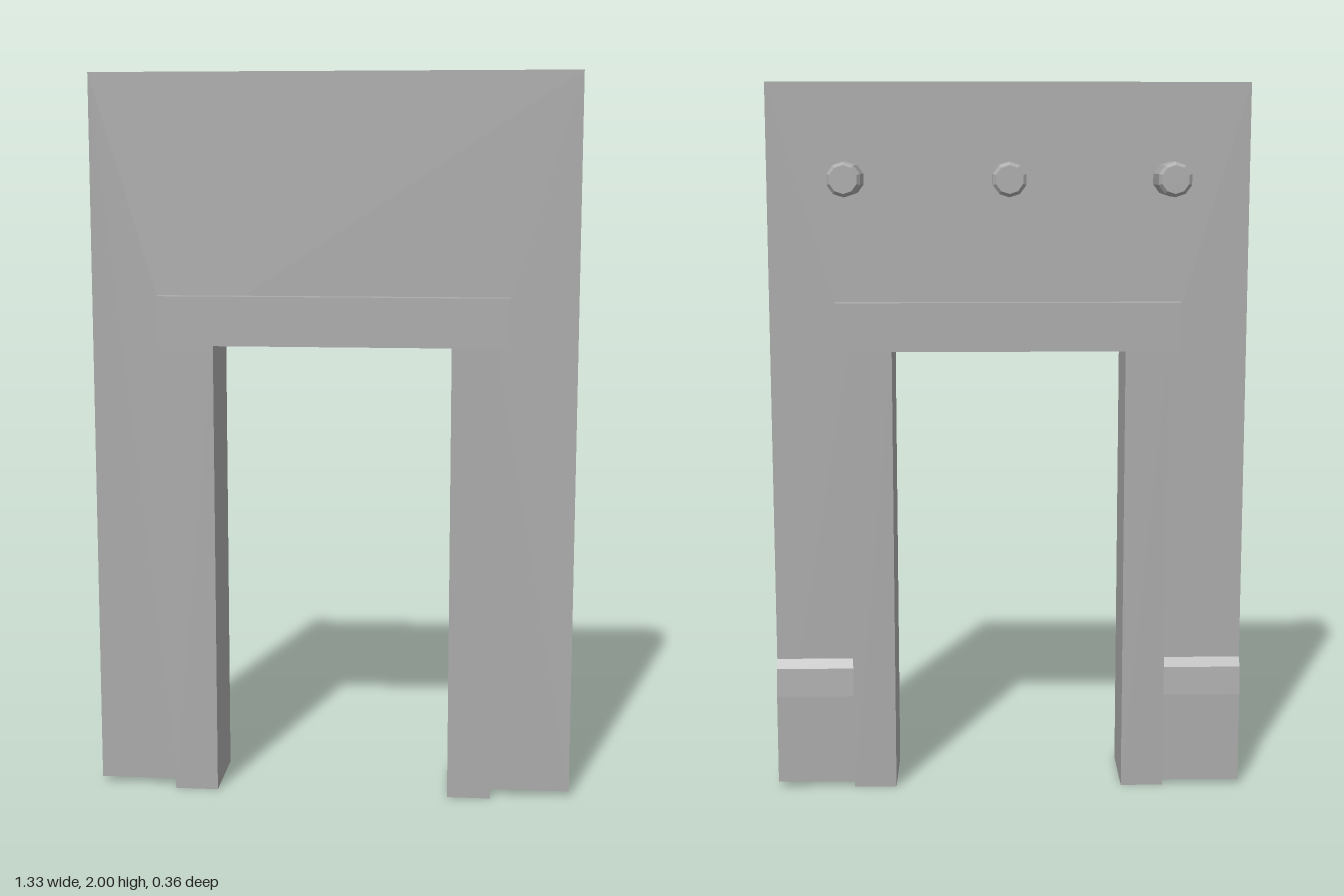
import * as THREE from 'three';

export function createModel() {
  const model = new THREE.Group();
  model.name = 'doorwayWall';
  const grey = new THREE.MeshStandardMaterial({ color: 0xaaaaaa });
  grey.name = 'plain grey';

  const add = (name, geometry, x = 0, y = 0, z = 0) => {
    const mesh = new THREE.Mesh(geometry, grey);
    mesh.name = name;
    mesh.position.set(x, y, z);
    model.add(mesh);
    return mesh;
  };
  const box = (name, x0, x1, y0, y1, z0, z1) =>
    add(name, new THREE.BoxGeometry(x1 - x0, y1 - y0, z1 - z0),
      (x0 + x1) / 2, (y0 + y1) / 2, (z0 + z1) / 2);
  const shape = (points) => new THREE.Shape(points.map(([x, y]) => new THREE.Vector2(x, y)));

  // Wall slab with the doorway cut out from below
  const wall = shape([
    [-0.665, 0.015], [-0.445, 0.015], [-0.445, 1.265], [0.445, 1.265],
    [0.445, 0.015], [0.665, 0.015], [0.665, 2], [-0.665, 2],
  ]);
  add('wall', new THREE.ExtrudeGeometry(wall, { depth: 0.165, bevelEnabled: false }), 0, 0, -0.025);

  // Lintel over the doorway
  box('lintel', -0.48, 0.48, 1.265, 1.4, -0.065, 0.18);

  // Jambs, and the sloped-top plinths on the back of the wall
  const plinth = shape([
    [0.02, 0.015], [0.052, 0.015], [0.05, 0.27], [0.042, 0.35], [0.025, 0.375], [0.02, 0.375],
  ]);
  for (const side of [-1, 1]) {
    const label = side > 0 ? 'left' : 'right';
    box(label + 'Jamb', Math.min(side * 0.325, side * 0.445), Math.max(side * 0.325, side * 0.445),
      0, 1.265, -0.055, 0.175);
    // Profile runs along -z and is extruded along x
    const geometry = new THREE.ExtrudeGeometry(plinth, { depth: 0.22, bevelEnabled: false });
    geometry.rotateY(Math.PI / 2);
    add(label + 'Plinth', geometry, side > 0 ? 0.445 : -0.665, 0, 0);
  }

  // Faceted pegs with chamfered tips on the back
  const pegProfile = [[0, 0], [0.047, 0], [0.047, 0.148], [0.038, 0.158], [0, 0.158]]
    .map(([r, h]) => new THREE.Vector2(r, h));
  for (const x of [-0.443, 0, 0.443]) {
    const geometry = new THREE.LatheGeometry(pegProfile, 10).toNonIndexed();
    geometry.computeVertexNormals();
    geometry.rotateX(-Math.PI / 2);
    add('peg', geometry, x, 1.738, -0.024);
  }
  return model;
}
